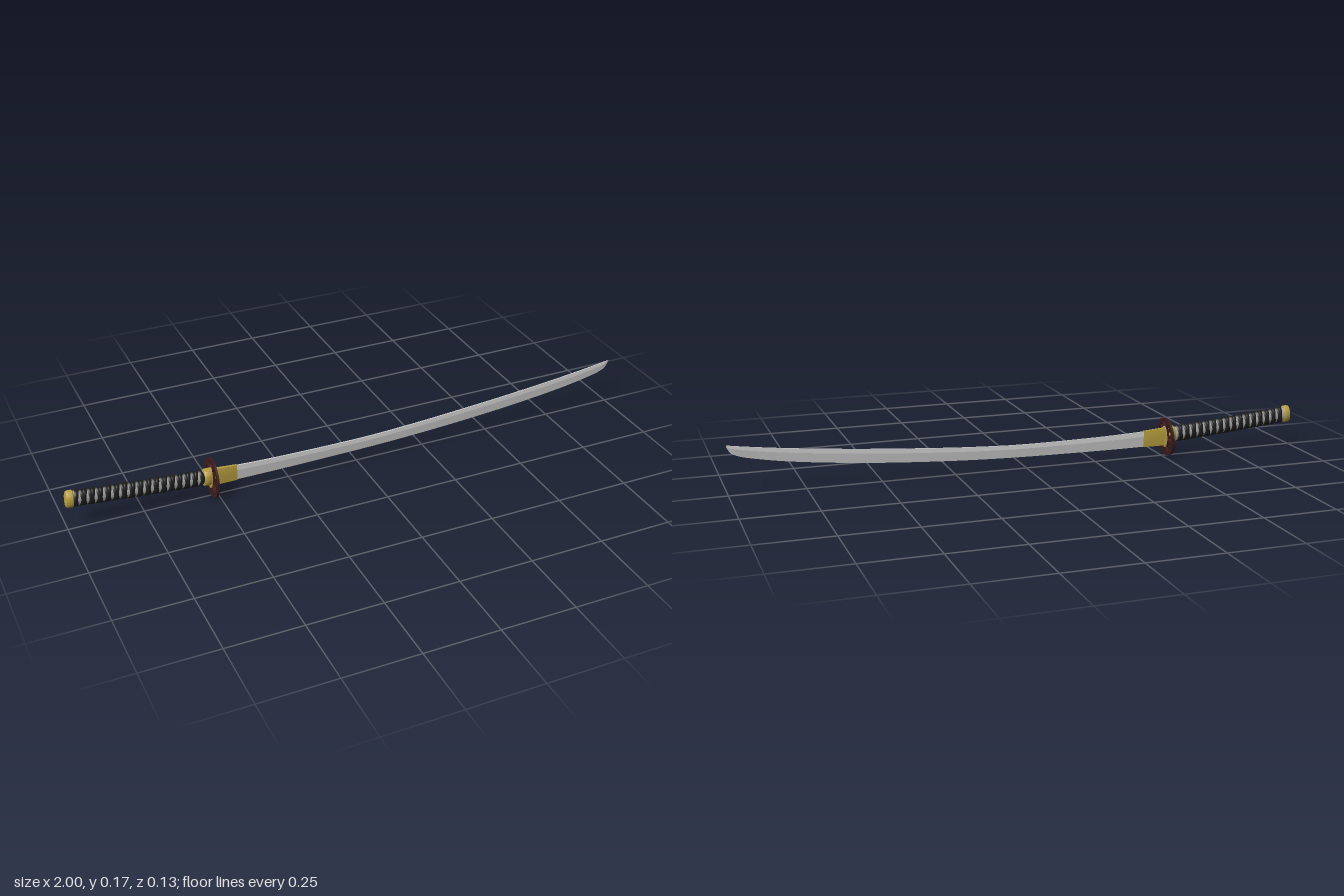
import * as THREE from 'three';
import { toCreasedNormals, mergeGeometries } from 'three/addons/utils/BufferGeometryUtils.js';

const TILT = 0.085;
const mat = (color, side = THREE.FrontSide) => new THREE.MeshStandardMaterial({ color, side });

// Joins closed rings of [x, y, z] points along +x and caps both ends
function loft(rings, crease = 0.6) {
  const n = rings[0].length, pos = rings.flat(2), idx = [];
  for (let i = 0; i < rings.length - 1; i++) {
    for (let j = 0; j < n; j++) {
      const a = i * n + j, b = i * n + (j + 1) % n;
      idx.push(a, b, a + n, b, b + n, a + n);
    }
  }
  const last = (rings.length - 1) * n;
  for (let j = 1; j < n - 1; j++) {
    idx.push(0, j + 1, j, last, last + j, last + j + 1);
  }
  const g = new THREE.BufferGeometry();
  g.setAttribute('position', new THREE.Float32BufferAttribute(pos, 3));
  g.setIndex(idx);
  return toCreasedNormals(g, crease);
}

// Centre line of the handle
const gripY = (x) => {
  const t = (x + 0.985) / 0.44;
  return 0.113 - 0.038 * t - 0.008 * t * (1 - t);
};

// Oval cross-section point, leaning with the handle
const ovalPoint = (x, y, ry, rz, a) => [x + TILT * ry * Math.cos(a), y + ry * Math.cos(a), rz * Math.sin(a)];
const oval = (x, ry, rz, y = gripY(x), n = 32) =>
  Array.from({ length: n }, (_, j) => ovalPoint(x, y, ry, rz, (j / n) * Math.PI * 2));

// One flat cord wound round the grip; dir gives the winding direction
function cord(dir) {
  const x0 = -0.968, x1 = -0.552, pitch = 0.026, width = 0.015, across = 4;
  const steps = Math.round((x1 - x0) / pitch) * 32, pos = [], idx = [];
  for (let i = 0; i <= steps; i++) {
    const x = x0 + ((x1 - x0) * i) / steps;
    const a = Math.PI / 2 + dir * ((x - x0) / pitch) * Math.PI * 2;
    for (let k = 0; k <= across; k++) {
      const s = k / across - 0.5;
      const lift = 0.0032 * (1 - 4 * s * s) + (dir > 0 ? 0.0004 : 0);
      const px = x + s * width;
      pos.push(...ovalPoint(px, gripY(px), 0.0255 + lift, 0.0165 + lift, a));
    }
  }
  for (let i = 0; i < steps; i++) {
    for (let k = 0; k < across; k++) {
      const a = i * (across + 1) + k, b = a + across + 1;
      if (dir > 0) idx.push(a, b, a + 1, b, b + 1, a + 1);
      else idx.push(a, a + 1, b, b, a + 1, b + 1);
    }
  }
  const g = new THREE.BufferGeometry();
  g.setAttribute('position', new THREE.Float32BufferAttribute(pos, 3));
  g.setIndex(idx);
  g.computeVertexNormals();
  return g;
}

// Blade: flat back, two ridges and a sharp lower edge, sweeping up to the point
function bladeGeometry() {
  const curve = (pts) => new THREE.SplineCurve(pts.map(([x, y]) => new THREE.Vector2(x, y)));
  const back = curve([[-0.52, 0.097], [-0.3, 0.087], [0, 0.084], [0.2, 0.091], [0.4, 0.104],
    [0.6, 0.12], [0.8, 0.14], [0.93, 0.156], [0.999, 0.166]]);
  const edge = curve([[-0.52, 0.038], [-0.3, 0.037], [0, 0.04], [0.2, 0.046], [0.4, 0.057],
    [0.6, 0.073], [0.8, 0.096], [0.93, 0.119], [0.975, 0.133], [0.99, 0.145], [1, 0.1655]]);
  const rings = [], n = 72;
  // Samples a curve height at a given x by bisection
  const at = (c, x) => {
    let lo = 0, hi = 1;
    for (let i = 0; i < 30; i++) {
      const m = (lo + hi) / 2;
      if (c.getPoint(m).x < x) lo = m; else hi = m;
    }
    return c.getPoint(lo).y;
  };
  for (let i = 0; i <= n; i++) {
    const x = -0.52 + 1.519 * Math.sin((i / n) * Math.PI / 2);
    const top = at(back, x), low = Math.min(at(edge, x), top - 0.0004);
    const h = top - low;
    const w = (0.0042 - 0.0014 * (i / n)) * Math.min(1, h / 0.03);
    const ridge = low + h * 0.68;
    rings.push([[x, top, w * 0.65], [x, ridge, w], [x, low, 0], [x, ridge, -w], [x, top, -w * 0.65]]);
  }
  return loft(rings, 0.15);
}

// Pierced round guard, drawn in (z, y) and then turned to face along x
function guardGeometry() {
  const depth = 0.007, parts = [];
  const rim = new THREE.Shape().absarc(0, 0, 0.067, 0, Math.PI * 2);
  rim.holes.push(new THREE.Path().absarc(0, 0, 0.051, 0, Math.PI * 2, true));
  const plate = new THREE.Shape().absellipse(0, 0, 0.021, 0.038, 0, Math.PI * 2);
  const add = (shape) => parts.push(
    new THREE.ExtrudeGeometry(shape, { depth, bevelEnabled: false, curveSegments: 32 }));
  add(rim);
  add(plate);
  // Openwork bars: z1, y1, z2, y2, start width, end width
  const bars = [
    [-0.010, 0.030, -0.022, 0.052, 0.010, 0.012], [0.010, 0.030, 0.022, 0.052, 0.010, 0.012],
    [-0.014, 0.020, -0.046, 0.034, 0.008, 0.014], [-0.016, 0.004, -0.054, 0.006, 0.006, 0.014],
    [-0.016, -0.008, -0.052, -0.014, 0.005, 0.007], [-0.030, -0.010, -0.032, -0.046, 0.003, 0.004],
    [-0.028, -0.026, -0.043, -0.030, 0.003, 0.004],
    [-0.003, -0.034, -0.010, -0.055, 0.005, 0.006], [0.004, -0.034, 0.006, -0.055, 0.006, 0.010],
    [0.010, -0.028, 0.026, -0.050, 0.008, 0.016], [0.014, -0.018, 0.042, -0.034, 0.004, 0.007],
    [0.016, -0.006, 0.054, -0.008, 0.004, 0.006], [0.016, 0.002, 0.050, 0.018, 0.005, 0.006],
    [0.014, 0.018, 0.042, 0.036, 0.006, 0.005], [0.034, 0.010, 0.038, -0.006, 0.003, 0.004],
  ];
  for (const [ax, ay, bx, by, wa, wb] of bars) {
    const l = Math.hypot(bx - ax, by - ay), nx = -(by - ay) / l / 2, ny = (bx - ax) / l / 2;
    add(new THREE.Shape([
      new THREE.Vector2(ax + nx * wa, ay + ny * wa), new THREE.Vector2(ax - nx * wa, ay - ny * wa),
      new THREE.Vector2(bx - nx * wb, by - ny * wb), new THREE.Vector2(bx + nx * wb, by + ny * wb),
    ]));
  }
  return toCreasedNormals(mergeGeometries(parts).translate(0, 0, -depth / 2).rotateY(-Math.PI / 2), 0.6);
}

export function createModel() {
  const model = new THREE.Group();
  const gold = mat(0xb8a040), black = mat(0x1c1c1c, THREE.DoubleSide);
  const add = (name, geometry, material, parent = model) => {
    const m = new THREE.Mesh(geometry, material);
    m.name = name;
    parent.add(m);
    return m;
  };

  add('blade', bladeGeometry(), mat(0xcccccc));

  // Collar wrapped round the blade root
  const collarRing = (x, top, low, w) => [[x, top, w * 0.7], [x, (top * 2 + low) / 3, w],
    [x, low, w * 0.3], [x, low, -w * 0.3], [x, (top * 2 + low) / 3, -w], [x, top, -w * 0.7]];
  add('bladeCollar', loft([collarRing(-0.516, 0.1, 0.036, 0.0075), collarRing(-0.43, 0.094, 0.036, 0.0052)]), gold);

  // Guard with an oval washer on each face
  const guard = new THREE.Group();
  guard.name = 'guardAssembly';
  guard.position.set(-0.516, 0.0675, 0);
  guard.rotation.z = -0.05;
  model.add(guard);
  add('guard', guardGeometry(), mat(0x3c1a1c), guard);
  for (const s of [-1, 1]) {
    const washer = add(s < 0 ? 'rearWasher' : 'frontWasher',
      new THREE.CylinderGeometry(1, 1, 0.003, 40).rotateZ(Math.PI / 2), gold, guard);
    washer.scale.set(1, 0.038, 0.02);
    washer.position.x = s * 0.005;
  }

  // Handle: pale core, crossed cords and metal end fittings
  const handle = new THREE.Group();
  handle.name = 'handle';
  model.add(handle);
  add('gripCore', loft(Array.from({ length: 13 }, (_, i) => oval(-0.98 + i * 0.036, 0.0255, 0.0165))),
    mat(0xa8a8a8), handle);
  add('gripCordA', cord(1), black, handle);
  add('gripCordB', cord(-1), black, handle);
  add('ferrule', loft([oval(-0.546, 0.028, 0.0185), oval(-0.543, 0.0305, 0.0205),
    oval(-0.524, 0.0315, 0.021), oval(-0.521, 0.03, 0.0195)]), gold, handle);
  add('pommelCap', loft([oval(-0.9975, 0.023, 0.014), oval(-0.995, 0.028, 0.0185),
    oval(-0.99, 0.03, 0.0205), oval(-0.976, 0.03, 0.0205), oval(-0.973, 0.027, 0.018)]), gold, handle);

  return model;
}
